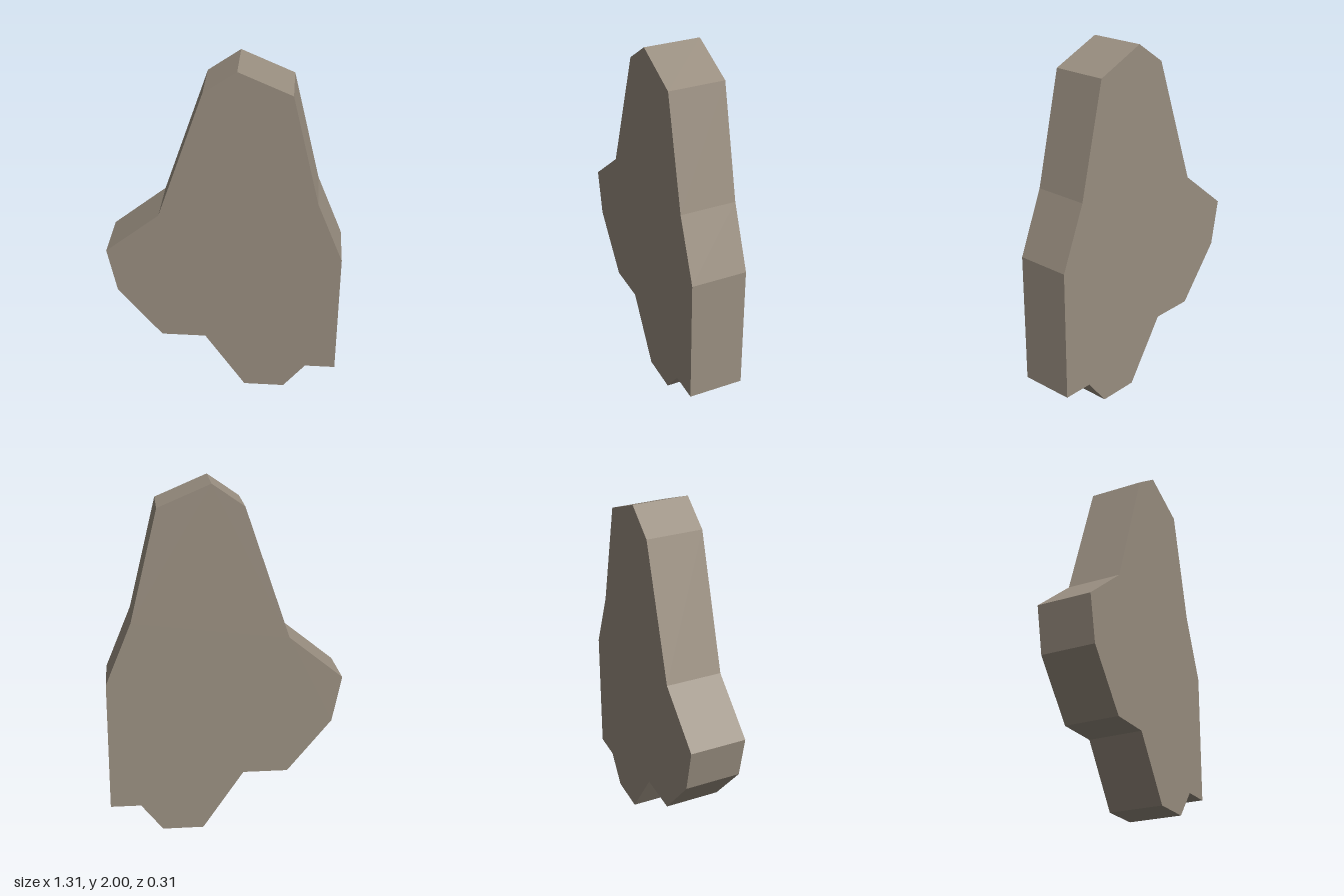
import * as THREE from 'three';

export function createModel() {
  const group = new THREE.Group();
  group.name = 'stoneSlab';

  const stone = new THREE.MeshStandardMaterial({ color: 0x998e80 });
  stone.name = 'stone';

  // Irregular outline, counter-clockwise from the foot
  const outline = [
    [0.127, 0], [0.36, 0], [0.484, 0.157], [0.657, 0.157], [0.657, 0.903],
    [0.512, 1.255], [0.36, 1.878], [0.072, 2], [-0.105, 1.878], [-0.355, 1.147],
    [-0.657, 0.905], [-0.605, 0.645], [-0.357, 0.343], [-0.105, 0.343],
  ].map(([x, y]) => new THREE.Vector2(x, y));

  // Flat slab of constant thickness, centred on z
  const depth = 0.314;
  const geometry = new THREE.ExtrudeGeometry(new THREE.Shape(outline), { depth, bevelEnabled: false });
  geometry.translate(0, 0, -depth / 2);

  const slab = new THREE.Mesh(geometry, stone);
  slab.name = 'slab';
  group.add(slab);
  return group;
}
